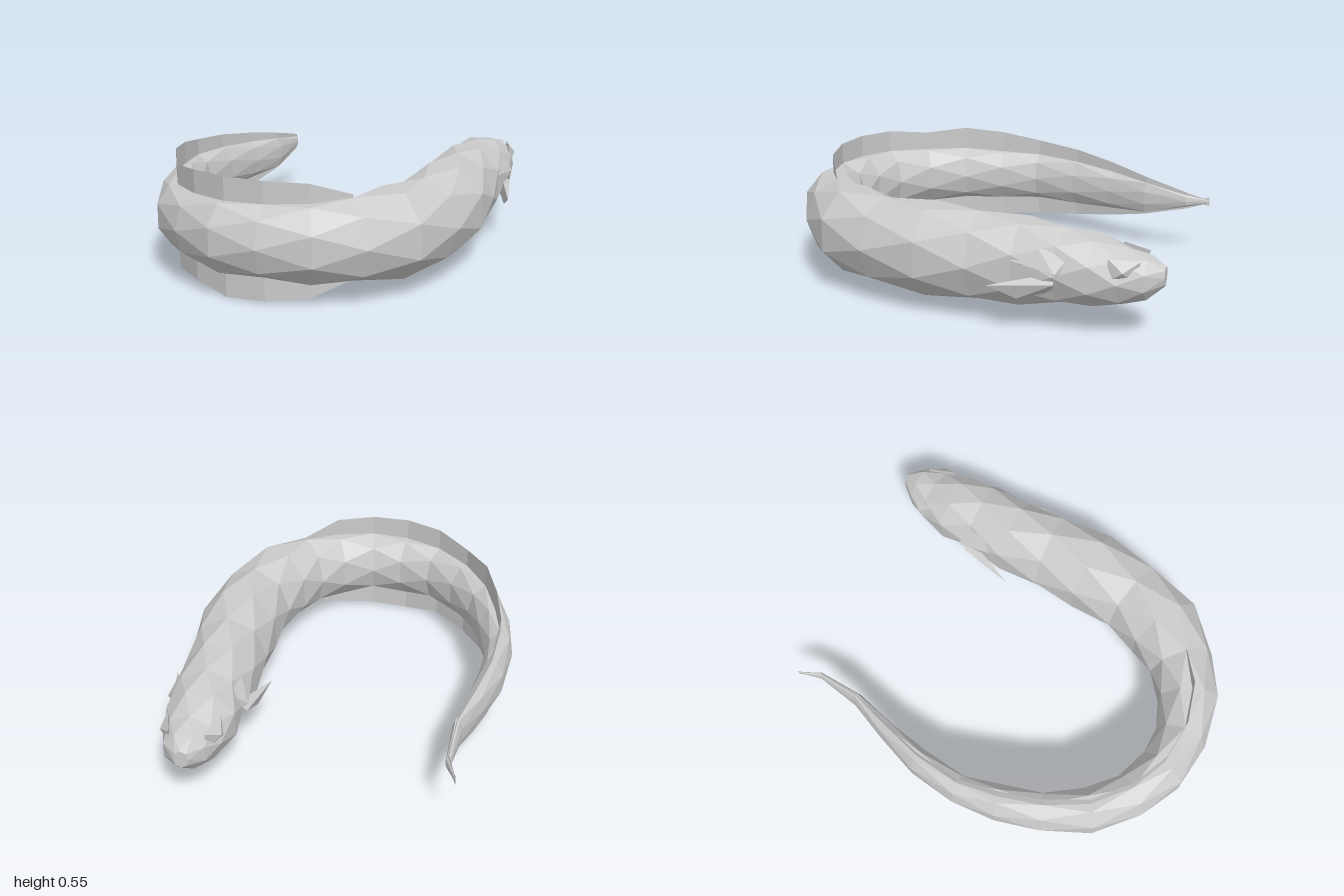
import * as THREE from 'three';
import { ConvexGeometry } from 'three/addons/geometries/ConvexGeometry.js';

// Stations nose to tail: x, z, half width, bottom y, top y
const STATIONS = [
  [0.57, -1.0, 0.035, 0.25, 0.34], [0.575, -0.93, 0.095, 0.19, 0.372],
  [0.57, -0.83, 0.135, 0.145, 0.4], [0.56, -0.7, 0.16, 0.13, 0.43],
  [0.57, -0.55, 0.17, 0.11, 0.455], [0.56, -0.36, 0.17, 0.085, 0.465],
  [0.57, -0.15, 0.187, 0.065, 0.48], [0.573, 0.08, 0.19, 0.07, 0.485],
  [0.545, 0.33, 0.19, 0.07, 0.48], [0.47, 0.54, 0.182, 0.08, 0.48],
  [0.345, 0.7, 0.16, 0.095, 0.47], [0.19, 0.81, 0.14, 0.11, 0.46],
  [0, 0.865, 0.125, 0.12, 0.45], [-0.19, 0.855, 0.115, 0.125, 0.445],
  [-0.37, 0.78, 0.107, 0.13, 0.435], [-0.53, 0.64, 0.1, 0.135, 0.425],
  [-0.64, 0.45, 0.09, 0.14, 0.42], [-0.7, 0.25, 0.08, 0.15, 0.41],
  [-0.735, 0.05, 0.068, 0.155, 0.4], [-0.71, -0.18, 0.058, 0.16, 0.39],
  [-0.65, -0.4, 0.043, 0.17, 0.37], [-0.585, -0.6, 0.024, 0.19, 0.35],
  [-0.565, -0.82, 0.013, 0.25, 0.31], [-0.605, -0.93, 0.002, 0.27, 0.285],
];
// Fin edge heights, one per station from FIN_START to the tail tip
const FIN_START = 10;
const DORSAL = [0.485, 0.545, 0.552, 0.552, 0.545, 0.515, 0.535, 0.515, 0.48, 0.455, 0.42, 0.38, 0.325, 0.285];
const ANAL = [0.1, 0.03, 0.01, 0.0, 0.03, 0.015, 0.025, 0.045, 0.065, 0.09, 0.13, 0.18, 0.24, 0.27];
const SIDES = 8;

const material = new THREE.MeshStandardMaterial({ color: 0xcccccc, flatShading: true });
const thinMaterial = new THREE.MeshStandardMaterial({ color: 0xcccccc, flatShading: true, side: THREE.DoubleSide });

function meshFrom(name, positions, index, mat) {
  const geometry = new THREE.BufferGeometry();
  geometry.setAttribute('position', new THREE.Float32BufferAttribute(positions, 3));
  geometry.setIndex(index);
  geometry.computeVertexNormals();
  return named(name, geometry, mat);
}

function named(name, geometry, mat) {
  const mesh = new THREE.Mesh(geometry, mat);
  mesh.name = name;
  return mesh;
}

// Faceted body: rings across the curve, every other ring turned half a step
function makeBody() {
  const positions = [], index = [];
  const last = STATIONS.length - 1;
  STATIONS.forEach(([x, z, w, bottom, top], k) => {
    const a = STATIONS[Math.max(k - 1, 0)], b = STATIONS[Math.min(k + 1, last)];
    const length = Math.hypot(b[0] - a[0], b[1] - a[1]);
    const sideX = -(b[1] - a[1]) / length, sideZ = (b[0] - a[0]) / length;
    const odd = k % 2, swell = odd ? 1.06 : 1;
    for (let i = 0; i < SIDES; i++) {
      const t = ((i + odd / 2) / SIDES) * Math.PI * 2;
      const s = Math.cos(t) * w * swell;
      const y = (bottom + top) / 2 + Math.sin(t) * swell * (top - bottom) / 2;
      positions.push(x + sideX * s, y, z + sideZ * s);
    }
  });
  for (let k = 0; k < last; k++) {
    for (let i = 0; i < SIDES; i++) {
      const j = (i + 1) % SIDES;
      const a = k * SIDES + i, a1 = k * SIDES + j;
      const b = a + SIDES, b1 = a1 + SIDES;
      if (k % 2) index.push(a, b1, a1, a, b, b1);
      else index.push(a, b, a1, a1, b, b1);
    }
  }
  // nose and tail caps
  const end = last * SIDES;
  for (let i = 1; i < SIDES - 1; i++) {
    index.push(0, i, i + 1, end, end + i + 1, end + i);
  }
  return meshFrom('body', positions, index, material);
}

// Thin fin standing on the body's centre line
function makeRidgeFin(name, edge, upper) {
  const positions = [], index = [];
  edge.forEach((y, i) => {
    const [x, z, , bottom, top] = STATIONS[FIN_START + i];
    const root = upper ? top - 0.03 : bottom + 0.03;
    positions.push(x, root, z, x, y, z);
    if (i) {
      const p = i * 2;
      index.push(p - 2, p, p - 1, p - 1, p, p + 1);
    }
  });
  return meshFrom(name, positions, index, thinMaterial);
}

// Convex wedge on one side of the head; s is outward distance from its middle
function makeWedge(name, points, side) {
  const corners = points.map(([s, y, z]) => new THREE.Vector3(0.565 + side * s, y, z));
  return named(name, new ConvexGeometry(corners), material);
}

export function createModel() {
  const model = new THREE.Group();
  model.name = 'eel';
  model.add(makeBody());
  model.add(makeRidgeFin('dorsalFin', DORSAL, true));
  model.add(makeRidgeFin('analFin', ANAL, false));

  for (const [label, side] of [['left', 1], ['right', -1]]) {
    model.add(makeWedge(label + 'PectoralFin', [
      [0.13, 0.29, -0.56], [0.13, 0.2, -0.54], [0.18, 0.25, -0.56],
      [0.19, 0.17, -0.4], [0.235, 0.23, -0.28],
    ], side));
    model.add(makeWedge(label + 'GillFlap', [
      [0.12, 0.38, -0.62], [0.19, 0.3, -0.57], [0.1, 0.24, -0.63],
      [0.14, 0.39, -0.48], [0.165, 0.33, -0.36],
    ], side));
    // small bump at the eye
    model.add(makeWedge(label + 'Brow', [
      [0.08, 0.37, -0.91], [0.14, 0.33, -0.85], [0.08, 0.27, -0.89],
      [0.12, 0.38, -0.78], [0.13, 0.28, -0.78],
    ], side));
  }
  return model;
}
